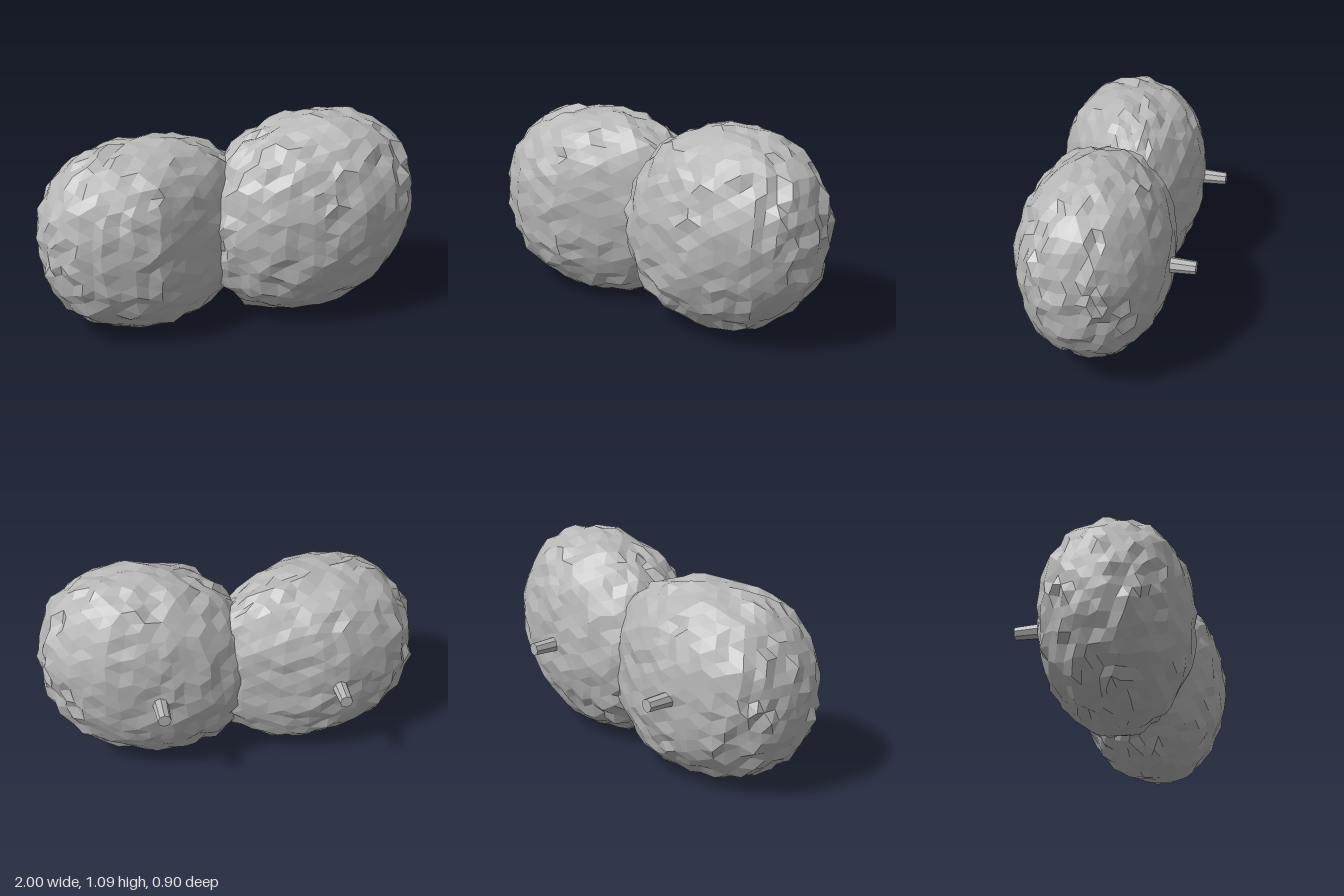
import * as THREE from 'three';

const stone = new THREE.MeshStandardMaterial({ color: 0xb6b6b6, flatShading: true });
stone.name = 'grey stone';

// Repeatable noise in -1..1 from a direction, so shared corners move together
function noise(v, seed) {
  const q = (n) => Math.round(n * 1000);
  const s = Math.sin(q(v.x) * 12.9898 + q(v.y) * 78.233 + q(v.z) * 37.719 + seed) * 43758.5453;
  return (s - Math.floor(s)) * 2 - 1;
}

// Rough boulder: a rounded-box-like ellipsoid with chipped facets, reshaped by a rule
function boulder(name, { center, radii, power, seed, reshape }) {
  const geometry = new THREE.IcosahedronGeometry(1, 8);
  const pos = geometry.attributes.position;
  const d = new THREE.Vector3();
  const p = new THREE.Vector3();
  for (let i = 0; i < pos.count; i++) {
    d.fromBufferAttribute(pos, i).normalize();
    const norm = Math.pow(
      Math.abs(d.x) ** power + Math.abs(d.y) ** power + Math.abs(d.z) ** power, -1 / power);
    const waves = 0.012 * Math.sin(7 * d.x + seed) * Math.sin(6 * d.y + 2 * seed) * Math.cos(6 * d.z);
    p.copy(d).multiplyScalar(norm * (1 + waves + 0.022 * noise(d, seed)));
    // Small sideways shifts make the facets irregular
    p.x += 0.02 * noise(d, seed + 11);
    p.y += 0.02 * noise(d, seed + 23);
    p.z += 0.02 * noise(d, seed + 37);
    p.multiply(radii);
    reshape(p);
    pos.setXYZ(i, p.x, p.y, p.z);
  }
  geometry.computeVertexNormals();
  const mesh = new THREE.Mesh(geometry, stone);
  mesh.name = name;
  mesh.position.copy(center);
  return mesh;
}

// Short peg on the back, widening towards its free end
function peg(name, x, y) {
  const geometry = new THREE.CylinderGeometry(0.034, 0.043, 0.2, 8);
  geometry.rotateX(-Math.PI / 2);
  const mesh = new THREE.Mesh(geometry, stone);
  mesh.name = name;
  mesh.position.set(x, y, -0.355);
  return mesh;
}

export function createModel() {
  const group = new THREE.Group();
  group.name = 'twinBoulders';

  // Smaller boulder, narrowing and bending back towards the join
  group.add(boulder('rightBoulder', {
    center: new THREE.Vector3(-0.42, 0.51, 0.05),
    radii: new THREE.Vector3(0.57, 0.495, 0.39),
    power: 2.3,
    seed: 3,
    reshape: (p) => {
      if (p.x > 0) {
        p.z *= 1 - 0.8 * p.x;
        p.z -= 0.18 * p.x;
      } else {
        p.z -= 0.06 * p.x;
      }
    },
  }));

  // Larger boulder, leaning up towards its outer side
  group.add(boulder('leftBoulder', {
    center: new THREE.Vector3(0.42, 0.555, 0.045),
    radii: new THREE.Vector3(0.565, 0.53, 0.38),
    power: 2.15,
    seed: 8,
    reshape: (p) => { p.y += 0.12 * p.x; },
  }));

  group.add(peg('rightPeg', -0.51, 0.5));
  group.add(peg('leftPeg', 0.42, 0.53));
  return group;
}
